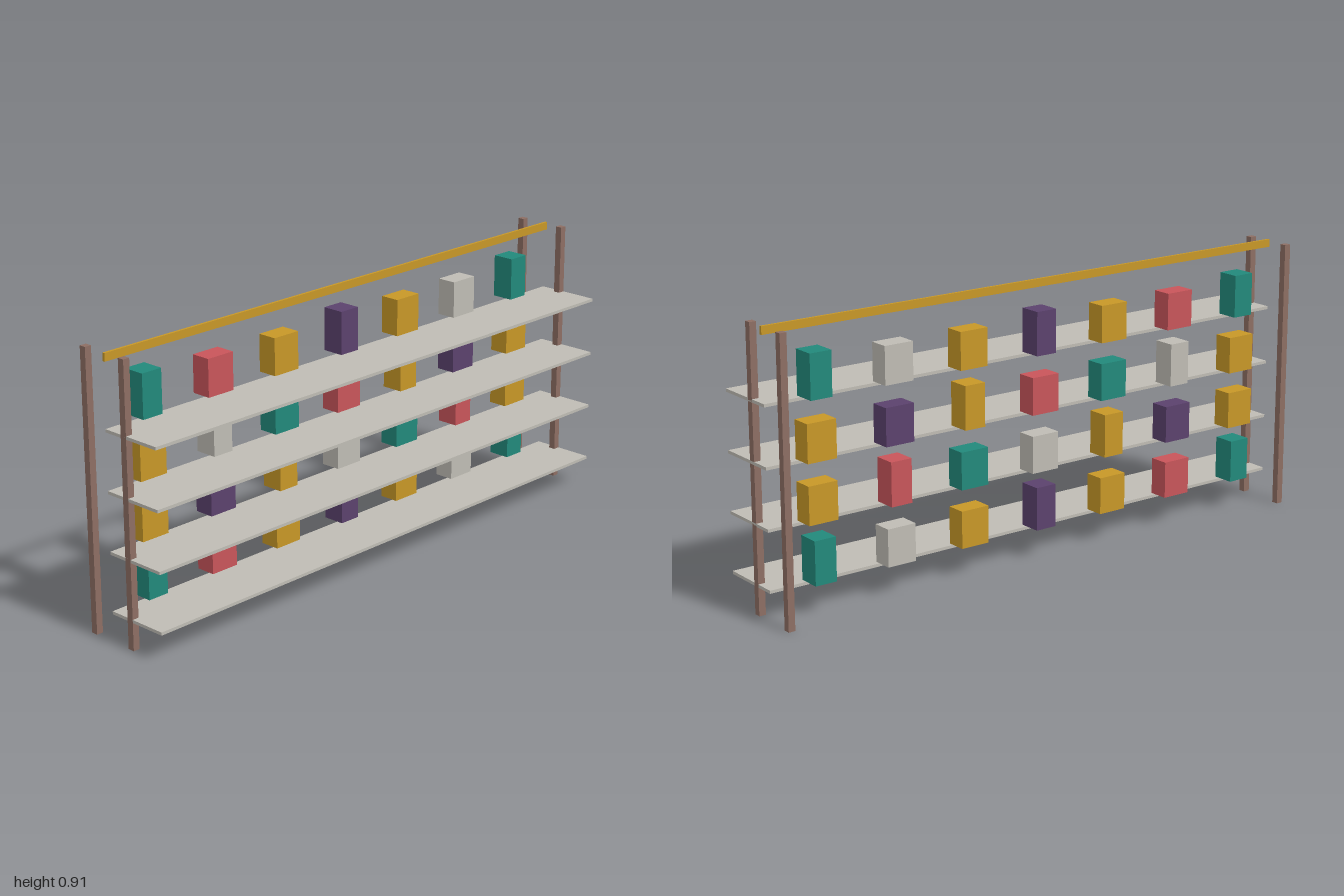
import * as THREE from 'three';

const paint = (name, color) => {
  const m = new THREE.MeshStandardMaterial({ color });
  m.name = name;
  return m;
};

export function createModel() {
  const group = new THREE.Group();
  const brown = paint('brown', 0x8d6e63);
  const grey = paint('grey', 0xbfbcb4);
  const teal = paint('teal', 0x22897b);
  const red = paint('red', 0xc8555a);
  const yellow = paint('yellow', 0xc79727);
  const purple = paint('purple', 0x5b416d);

  // box standing on height y, centred on x and z
  const addBox = (name, material, w, h, d, x, y, z) => {
    const mesh = new THREE.Mesh(new THREE.BoxGeometry(w, h, d), material);
    mesh.name = name;
    mesh.position.set(x, y + h / 2, z);
    group.add(mesh);
  };

  // four corner posts
  for (const x of [-0.9885, 0.9885]) {
    addBox('frontPost', brown, 0.023, 0.911, 0.023, x, 0, 0.02);
    addBox('backPost', brown, 0.023, 0.911, 0.023, x, 0, -0.147);
  }

  // top rail
  addBox('topRail', yellow, 2, 0.026, 0.009, 0, 0.886, -0.0535);

  // goods on each shelf, bottom to top; capitals mark the tall narrow boxes
  const colours = { t: teal, r: red, y: yellow, p: purple, g: grey };
  const rows = ['TryPygT', 'ypYgtRy', 'yGtrYpy', 'TryPygT'];
  rows.forEach((row, i) => {
    const top = 0.102 + i * 0.1923;
    addBox('shelf', grey, 2, 0.01, 0.217, 0, top - 0.01, 0.05);
    [...row].forEach((letter, j) => {
      const key = letter.toLowerCase();
      const [w, h, d] = letter !== key ? [0.075, 0.143, 0.075] : [0.102, 0.123, 0.067];
      addBox('goodsBox', colours[key], w, h, d, (j - 3) * 0.2785, top, -0.0745);
    });
  });

  return group;
}
